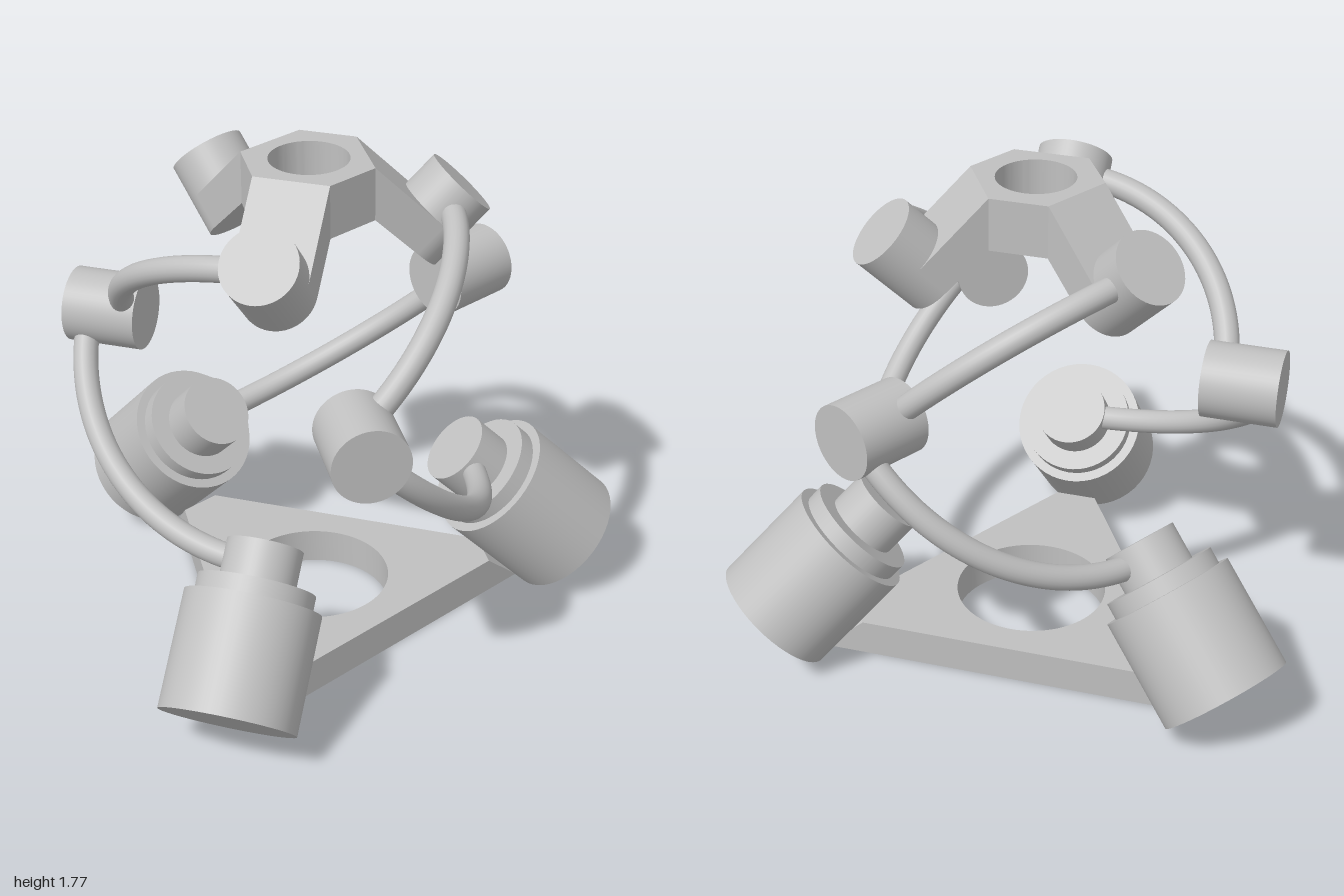
import * as THREE from 'three';
import { toCreasedNormals } from 'three/addons/utils/BufferGeometryUtils.js';

const grey = new THREE.MeshStandardMaterial({ color: 0xc0c0c0 });
grey.name = 'machined grey';

const S = Math.SQRT1_2;
const UP = new THREE.Vector3(0, 1, 0);
const OUT_DOWN = new THREE.Vector3(S, -S, 0); // motor axis
const OUT_UP = new THREE.Vector3(S, S, 0); // platform joint axis
const SIDE = new THREE.Vector3(0, 0, 1); // elbow axis
const CENTRE_Y = 1.11; // every joint axis meets at this height

function add(parent, name, geometry) {
  const mesh = new THREE.Mesh(geometry, grey);
  mesh.name = name;
  parent.add(mesh);
  return mesh;
}

// Cylinder lying on a ray from the common centre, between two distances
function rod(parent, name, dir, from, to, radius) {
  const mesh = add(parent, name, new THREE.CylinderGeometry(radius, radius, to - from, 48));
  mesh.position.copy(dir).multiplyScalar((from + to) / 2);
  mesh.quaternion.setFromUnitVectors(UP, dir);
}

// Quarter-circle link from a ray in the leg's plane round to the elbow
function link(parent, name, dir, radius) {
  const mesh = add(parent, name, new THREE.TorusGeometry(radius, 0.043, 20, 48, Math.PI / 2));
  const basis = new THREE.Matrix4().makeBasis(dir, SIDE, dir.clone().cross(SIDE));
  mesh.quaternion.setFromRotationMatrix(basis);
}

// Six-sided plate: three edges of a half-width at a given distance, with a round hole
function plate(distance, halfWidth, hole, height) {
  const points = [];
  for (let i = 0; i < 3; i++) {
    for (const w of [-halfWidth, halfWidth]) {
      points.push(new THREE.Vector2(distance, w).rotateAround(new THREE.Vector2(), i * Math.PI * 2 / 3));
    }
  }
  const shape = new THREE.Shape(points);
  shape.holes.push(new THREE.Path().absarc(0, 0, hole, 0, Math.PI * 2, true));
  const geometry = new THREE.ExtrudeGeometry(shape, { depth: height, bevelEnabled: false, curveSegments: 48 });
  return geometry.rotateX(-Math.PI / 2);
}

// Triangular base whose corners are sliced at 45 degrees to seat the motors
function baseGeometry() {
  const corner = 0.77, height = 0.13, hole = 0.27;
  const geometry = plate(corner - height, height * Math.tan(Math.PI / 6), hole, height);
  const p = geometry.attributes.position;
  for (let i = 0; i < p.count; i++) {
    if (p.getY(i) > 0.01 || Math.hypot(p.getX(i), p.getZ(i)) < hole + 0.05) continue;
    const third = Math.PI * 2 / 3;
    const a = Math.round(Math.atan2(p.getZ(i), p.getX(i)) / third) * third;
    p.setXYZ(i, corner * Math.cos(a), 0, corner * Math.sin(a));
  }
  return toCreasedNormals(geometry, 0.5);
}

// Sloping arm from the platform down to its joint
function armGeometry() {
  const width = 0.26;
  const shape = new THREE.Shape([[0.19, 0.475], [0.335, 0.335], [0.425, 0.425], [0.19, 0.66]]
    .map(([x, y]) => new THREE.Vector2(x, y)));
  return new THREE.ExtrudeGeometry(shape, { depth: width, bevelEnabled: false }).translate(0, 0, -width / 2);
}

export function createModel() {
  const model = new THREE.Group();
  model.name = 'sphericalParallelManipulator';
  const body = new THREE.Group();
  body.name = 'mechanism';
  body.position.x = -0.15;
  model.add(body);

  add(body, 'base', baseGeometry());
  add(body, 'platform', toCreasedNormals(plate(0.19, 0.13, 0.135, 0.185), 0.5)).position.y = 1.585;

  // Three identical legs
  for (let i = 0; i < 3; i++) {
    const leg = new THREE.Group();
    leg.name = `leg${i + 1}`;
    leg.position.y = CENTRE_Y;
    leg.rotation.y = -i * Math.PI * 2 / 3;
    body.add(leg);

    rod(leg, 'motor', OUT_DOWN, 0.93, 1.33, 0.233);
    rod(leg, 'motorCollar', OUT_DOWN, 0.87, 0.93, 0.2);
    rod(leg, 'motorHub', OUT_DOWN, 0.735, 0.87, 0.13);
    rod(leg, 'elbow', SIDE, 0.6, 0.86, 0.13);
    rod(leg, 'platformJoint', OUT_UP, 0.474, 0.735, 0.13);
    link(leg, 'lowerLink', OUT_DOWN, 0.8);
    link(leg, 'upperLink', OUT_UP, 0.66);
    add(leg, 'platformArm', armGeometry());
  }
  return model;
}
